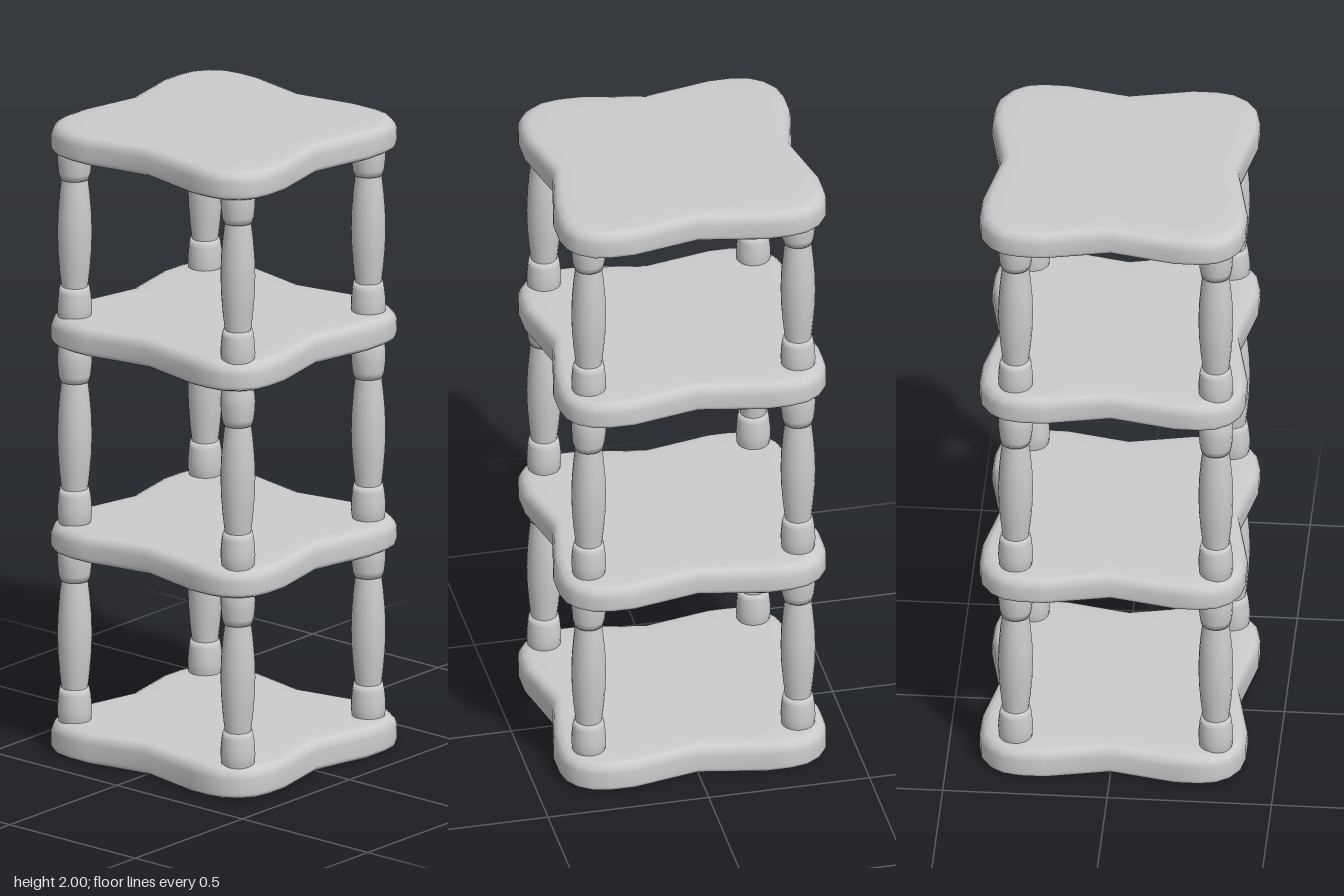
import * as THREE from 'three';

const material = new THREE.MeshStandardMaterial({ color: 0xcccccc });

// One quarter of the scalloped shelf outline (x, z), from the x notch to the z notch
const quarter = [
  [0.363, 0], [0.405, 0.21], [0.405, 0.28], [0.395, 0.333], [0.365, 0.378],
  [0.325, 0.405], [0.275, 0.415], [0.2, 0.415], [0, 0.372],
];

// Mirror the quarter into a closed loop
function outline() {
  const half = [...quarter, ...quarter.slice(0, -1).reverse().map(([x, z]) => [x, z, true])]
    .map(([x, z, flip]) => [flip ? -x : x, z]);
  return [...half, ...half.slice(1, -1).reverse().map(([x, z]) => [x, -z])];
}

// Shelf slab: the outline stacked in rings (inset, height) with softened rims
function shelfGeometry(h) {
  const loop = outline();
  const n = loop.length;
  const rings = [
    [0.06, 0], [0.012, 0], [0.003, 0.006], [0, 0.016], [0, h - 0.035],
    [0.005, h - 0.018], [0.015, h - 0.006], [0.032, h], [0.08, h],
  ];
  const pos = [];
  const index = [];
  for (const [inset, y] of rings) {
    const s = 1 - inset / 0.41;
    for (const [x, z] of loop) pos.push(x * s, y, z * s);
  }
  const bottom = rings.length * n;
  const top = bottom + 1;
  pos.push(0, 0, 0, 0, h, 0);
  const last = (rings.length - 1) * n;
  for (let i = 0; i < n; i++) {
    const j = (i + 1) % n;
    for (let r = 0; r < rings.length - 1; r++) {
      const a = r * n + i, b = r * n + j;
      index.push(a, a + n, b, b, a + n, b + n);
    }
    index.push(bottom, i, j, top, last + j, last + i);
  }
  const geo = new THREE.BufferGeometry();
  geo.setAttribute('position', new THREE.Float32BufferAttribute(pos, 3));
  geo.setIndex(index);
  geo.computeVertexNormals();
  return geo;
}

const lathe = (points) =>
  new THREE.LatheGeometry(points.map(([r, y]) => new THREE.Vector2(r, y)), 20);

// Turned post: lower collar, swelling shaft, upper collar
const postParts = {
  lowerCollar: lathe([[0.044, 0.075], [0.051, 0.1], [0.053, 0.125], [0.052, 0.15],
    [0.049, 0.18], [0.045, 0.2], [0, 0.2]]),
  shaft: lathe([[0.04, 0.198], [0.046, 0.25], [0.051, 0.31], [0.053, 0.372],
    [0.051, 0.435], [0.046, 0.495], [0.04, 0.545]]),
  upperCollar: lathe([[0, 0.543], [0.045, 0.543], [0.049, 0.563], [0.052, 0.593],
    [0.053, 0.618], [0.051, 0.643], [0.044, 0.67]]),
};

function makePost(name, x, y, z) {
  const post = new THREE.Group();
  post.name = name;
  for (const [part, geo] of Object.entries(postParts)) {
    const mesh = new THREE.Mesh(geo, material);
    mesh.name = part;
    post.add(mesh);
  }
  post.position.set(x, y, z);
  return post;
}

export function createModel() {
  const model = new THREE.Group();
  model.name = 'shelfTower';

  // Four shelves: [bottom, top]
  [[0, 0.098], [0.64, 0.728], [1.3, 1.39], [1.91, 2]].forEach(([y0, y1], i) => {
    const shelf = new THREE.Mesh(shelfGeometry(y1 - y0), material);
    shelf.name = `shelf${i + 1}`;
    shelf.position.y = y0;
    model.add(shelf);
  });

  // Four posts on each of the three tiers
  [0, 0.635, 1.281].forEach((y, tier) => {
    for (const [side, x] of [['Right', -0.317], ['Left', 0.292]]) {
      for (const [end, z] of [['front', 0.326], ['back', -0.325]]) {
        model.add(makePost(`${end}${side}Post${tier + 1}`, x, y, z));
      }
    }
  });
  return model;
}
